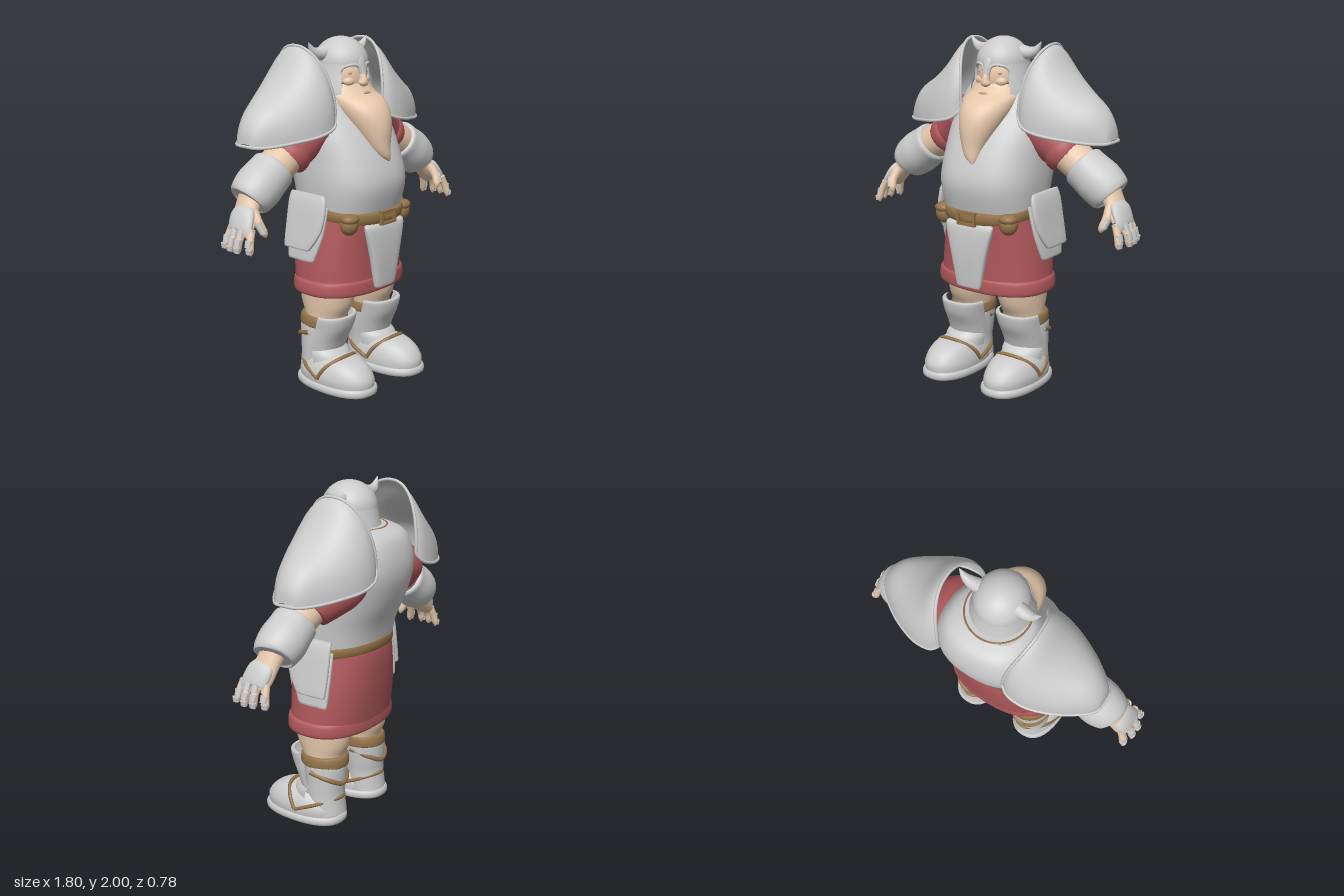
import * as THREE from 'three';

const mat = (color) => new THREE.MeshStandardMaterial({ color, side: THREE.DoubleSide });
const steel = mat(0xcccccc), skin = mat(0xe6c8ab), cloth = mat(0xb0585b), leather = mat(0x927248), lip = mat(0xc79a84);

// Catmull-Rom refinement of rows of numbers
function refine(rows, k) {
  const out = [], n = rows.length, at = (i) => rows[Math.max(0, Math.min(n - 1, i))];
  for (let i = 0; i < n - 1; i++) {
    for (let s = 0; s < k; s++) {
      const t = s / k;
      out.push(rows[i].map((b, c) => {
        const a = at(i - 1)[c], d = at(i + 1)[c], e = at(i + 2)[c];
        return b + 0.5 * t * (d - a + t * (2 * a - 5 * b + 4 * d - e + t * (3 * (b - d) + e - a)));
      }));
    }
  }
  out.push(rows[n - 1]);
  return out;
}

// Surface through rows of points, closed around and capped, or open
function surface(rings, closed = true) {
  const pos = [], idx = [], m = rings[0].length;
  rings.forEach((r) => r.forEach((p) => pos.push(p.x, p.y, p.z)));
  for (let i = 0; i < rings.length - 1; i++) {
    for (let j = 0; j < (closed ? m : m - 1); j++) {
      const a = i * m + j, b = i * m + (j + 1) % m;
      idx.push(a, b, b + m, a, b + m, a + m);
    }
  }
  if (closed) [rings[0], rings[rings.length - 1]].forEach((r, end) => {
    const base = pos.length / 3, c = new THREE.Vector3();
    r.forEach((p) => { pos.push(p.x, p.y, p.z); c.addScaledVector(p, 1 / m); });
    pos.push(c.x, c.y, c.z);
    for (let j = 0; j < m; j++) {
      const a = base + j, b = base + (j + 1) % m;
      idx.push(base + m, end ? a : b, end ? b : a);
    }
  });
  const g = new THREE.BufferGeometry();
  g.setAttribute('position', new THREE.Float32BufferAttribute(pos, 3));
  g.setIndex(idx);
  g.computeVertexNormals();
  return g;
}

const pw = (v, e) => Math.sign(v) * Math.abs(v) ** e;

// Upright body from rows [y, cx, cz, rx, rz]; e < 1 squares the section, tilt lowers the front, arc opens the back
function loft(rows, { n = 36, k = 4, e = 1, tilt = 0, arc = 0 } = {}) {
  const rings = refine(rows, k).map(([y, cx, cz, rx, rz]) => Array.from({ length: n }, (_, j) => {
    const t = arc ? -arc + 2 * arc * j / (n - 1) : 2 * Math.PI * j / n;
    const z = cz + rz * pw(Math.cos(t), e);
    return new THREE.Vector3(cx + rx * pw(Math.sin(t), e), y - tilt * z, z);
  }));
  return surface(rings, !arc);
}

// Limb along a path from rows [x, y, z, radius across, radius in depth]
function limb(rows, { n = 20, k = 4 } = {}) {
  const r = refine(rows, k), P = r.map((q) => new THREE.Vector3(q[0], q[1], q[2]));
  return surface(r.map((q, i) => {
    const T = P[Math.min(i + 1, P.length - 1)].clone().sub(P[Math.max(i - 1, 0)]).normalize();
    const u = T.clone().cross(new THREE.Vector3(0, 0, 1)).normalize(), v = u.clone().cross(T);
    return Array.from({ length: n }, (_, j) => {
      const t = 2 * Math.PI * j / n;
      return P[i].clone().addScaledVector(u, q[3] * Math.sin(t)).addScaledVector(v, q[4] * Math.cos(t));
    });
  }));
}

const tube = (pts, r) =>
  new THREE.TubeGeometry(new THREE.CatmullRomCurve3(pts.map((p) => new THREE.Vector3(...p))), 48, r, 8);
const ball = (x, y, z, rx, ry, rz) => new THREE.SphereGeometry(1, 28, 20).scale(rx, ry, rz).translate(x, y, z);

function add(group, name, geometry, material) {
  const mesh = new THREE.Mesh(geometry, material);
  mesh.name = name;
  group.add(mesh);
}

function buildPauldron(g) {
  // Rows [x bottom, x top, y bottom, y top, z front, z back] from the neck outwards
  const rows = refine([
    [0.2, 0.28, 1.58, 1.965, 0.1, -0.355], [0.25, 0.32, 1.53, 1.93, 0.135, -0.38],
    [0.36, 0.4, 1.5, 1.82, 0.135, -0.375], [0.5, 0.5, 1.48, 1.73, 0.085, -0.32],
    [0.6, 0.61, 1.465, 1.655, 0.025, -0.255], [0.665, 0.675, 1.46, 1.56, -0.03, -0.2],
    [0.688, 0.69, 1.462, 1.475, -0.06, -0.16]], 4);
  const rings = rows.map(([xb, xt, yb, yt, zf, zb]) => Array.from({ length: 25 }, (_, j) => {
    const t = Math.PI * j / 24, h = Math.sin(t) ** 0.92;
    return new THREE.Vector3(xb + (xt - xb) * h * h, yb + (yt - yb) * h, (zf + zb) / 2 + (zf - zb) / 2 * pw(Math.cos(t), 0.92));
  }));
  add(g, 'pauldron', surface(rings, false), steel);
  const border = [...rings.map((r) => r[0]), ...rings.map((r) => r[24]).reverse(), ...rings[0].slice(1, -1).reverse()];
  const rim = new THREE.CatmullRomCurve3(border, true);
  add(g, 'pauldronRim', new THREE.TubeGeometry(rim, 120, 0.009, 8, true), steel);
}

function buildArm(g) {
  add(g, 'sleeve', limb([[0.14, 1.56, -0.11, 0.12, 0.18], [0.27, 1.49, -0.11, 0.15, 0.22],
    [0.36, 1.42, -0.09, 0.135, 0.175], [0.43, 1.365, -0.07, 0.115, 0.13]], { n: 28 }), cloth);
  add(g, 'sleeveCuff', limb([[0.4, 1.388, -0.075, 0.118, 0.135], [0.408, 1.382, -0.073, 0.128, 0.143],
    [0.43, 1.365, -0.07, 0.124, 0.137], [0.436, 1.36, -0.07, 0.113, 0.125]], { n: 28, k: 2 }), cloth);
  add(g, 'arm', limb([[0.36, 1.42, -0.08, 0.1, 0.11], [0.5, 1.335, -0.06, 0.104, 0.11], [0.66, 1.24, -0.05, 0.085, 0.09],
    [0.73, 1.17, -0.045, 0.055, 0.075], [0.79, 1.08, -0.025, 0.04, 0.085], [0.815, 1.04, -0.01, 0.026, 0.08]]), skin);
  add(g, 'forearmGuard', limb([[0.522, 1.325, -0.06, 0.108, 0.112], [0.532, 1.318, -0.06, 0.124, 0.128],
    [0.57, 1.292, -0.06, 0.126, 0.131], [0.645, 1.24, -0.06, 0.132, 0.137],
    [0.71, 1.192, -0.055, 0.12, 0.122], [0.722, 1.182, -0.055, 0.1, 0.105]], { n: 28 }), steel);
  add(g, 'handPlate', limb([[0.757, 1.165, -0.04, 0.02, 0.05], [0.79, 1.125, -0.03, 0.035, 0.08],
    [0.83, 1.055, -0.01, 0.028, 0.082], [0.838, 1.04, -0.01, 0.01, 0.07]]), steel);
  for (let i = 0; i < 4; i++) {
    const z = 0.065 - i * 0.05, d = [-0.01, 0.012, 0.008, -0.012][i], s = [0.022, 0, -0.006, -0.02][i];
    add(g, 'finger', limb([[0.815, 1.06, z, 0.02, 0.022], [0.85 + d, 1.0, z + s / 2, 0.021, 0.022],
      [0.86 + d, 0.95, z + s, 0.018, 0.019], [0.857 + d, 0.928, z + s, 0.005, 0.006]], { n: 12, k: 3 }), skin);
    [[0.832, 1.06, 0.852, 1.015], [0.859, 1.008, 0.871, 0.97], [0.872, 0.965, 0.871, 0.938]].forEach(([x, y, x2, y2], q) =>
      add(g, 'fingerPlate', limb([[x + d, y, z + s * q / 2, 0.015, 0.023], [x2 + d, y2, z + s * q / 2, 0.013, 0.02]], { n: 10, k: 2 }), steel));
  }
  add(g, 'thumb', limb([[0.755, 1.13, 0.015, 0.03, 0.035], [0.76, 1.08, 0.06, 0.026, 0.026],
    [0.745, 1.03, 0.085, 0.021, 0.021], [0.737, 1.005, 0.088, 0.006, 0.006]], { n: 12 }), skin);
  add(g, 'thumbPlate', limb([[0.775, 1.085, 0.065, 0.018, 0.022], [0.76, 1.03, 0.092, 0.016, 0.018]], { n: 10 }), steel);
}

function buildLeg(g) {
  add(g, 'leg', loft([[0.25, 0.195, 0, 0.11, 0.115], [0.4, 0.185, 0.01, 0.115, 0.125],
    [0.5, 0.18, 0.015, 0.125, 0.17], [0.66, 0.17, 0.02, 0.14, 0.2]]), skin);
  add(g, 'sole', loft([[0, 0.215, 0.12, 0.14, 0.25], [0.01, 0.215, 0.122, 0.153, 0.265],
    [0.035, 0.215, 0.122, 0.155, 0.267], [0.05, 0.215, 0.122, 0.145, 0.258]], { e: 0.85, k: 2 }), steel);
  add(g, 'soleTread', loft([[-0.002, 0.215, 0.12, 0.125, 0.23], [0.008, 0.215, 0.12, 0.125, 0.23]], { e: 0.85, k: 1 }), leather);
  add(g, 'bootFoot', loft([[0.04, 0.215, 0.125, 0.143, 0.25], [0.09, 0.217, 0.125, 0.146, 0.25],
    [0.145, 0.217, 0.125, 0.13, 0.212], [0.185, 0.214, 0.12, 0.1, 0.15], [0.205, 0.21, 0.11, 0.04, 0.06]], { e: 0.92 }), steel);
  add(g, 'bootShaft', loft([[0.06, 0.205, -0.03, 0.115, 0.11], [0.17, 0.205, -0.015, 0.115, 0.112],
    [0.25, 0.2, -0.015, 0.12, 0.118], [0.36, 0.195, -0.01, 0.125, 0.13], [0.37, 0.195, -0.01, 0.11, 0.115]]), steel);
  add(g, 'anklePlate', loft([[0.15, 0.21, 0.05, 0.125, 0.14], [0.2, 0.208, 0.04, 0.127, 0.13],
    [0.235, 0.205, 0.02, 0.12, 0.115]], { arc: 1.6 }), steel);
  add(g, 'greave', loft([[0.19, 0.205, -0.01, 0.125, 0.125], [0.28, 0.203, 0.01, 0.133, 0.135],
    [0.36, 0.2, 0.035, 0.136, 0.15], [0.43, 0.198, 0.06, 0.14, 0.14], [0.436, 0.198, 0.055, 0.125, 0.125]],
    { arc: 1.45, e: 0.85 }), steel);
  add(g, 'kneeStrap', loft([[0.355, 0.19, 0, 0.125, 0.14], [0.365, 0.19, 0, 0.132, 0.147],
    [0.41, 0.19, 0, 0.128, 0.143], [0.42, 0.19, 0, 0.115, 0.13]], { k: 2 }), leather);
  // Crossed strap behind the calf, instep and heel straps
  add(g, 'calfStrap', tube([[0.075, 0.33, 0.01], [0.12, 0.29, -0.105], [0.2, 0.255, -0.137], [0.285, 0.29, -0.105],
    [0.327, 0.33, 0.01]], 0.014), leather);
  add(g, 'instepStrap', tube([[0.068, 0.08, 0.1], [0.084, 0.145, 0.14], [0.15, 0.194, 0.19], [0.215, 0.203, 0.2],
    [0.28, 0.194, 0.19], [0.347, 0.145, 0.14], [0.364, 0.08, 0.1]], 0.012), leather);
  add(g, 'heelStrap', tube([[0.066, 0.08, 0.1], [0.085, 0.13, -0.03], [0.2, 0.165, -0.13], [0.325, 0.13, -0.03],
    [0.364, 0.08, 0.1]], 0.011), leather);
}

function buildHip(g) {
  // Layered plates hanging from the belt
  add(g, 'lowerHipPlate', loft([[0.77, 0.345, -0.035, 0.012, 0.09], [0.78, 0.345, -0.03, 0.017, 0.1],
    [0.93, 0.325, -0.01, 0.018, 0.13], [1.08, 0.29, -0.005, 0.015, 0.13]], { e: 0.6, k: 2 }), steel);
  add(g, 'upperHipPlate', loft([[0.84, 0.373, -0.04, 0.012, 0.09], [0.85, 0.372, -0.035, 0.018, 0.1],
    [0.96, 0.35, -0.005, 0.02, 0.135], [1.1, 0.325, 0, 0.02, 0.14], [1.15, 0.31, -0.01, 0.012, 0.125]], { e: 0.6, k: 2 }), steel);
  add(g, 'pouch', ball(0.225, 0.99, 0.225, 0.055, 0.058, 0.05), leather);
  add(g, 'pouchFlap', ball(0.225, 1.025, 0.23, 0.057, 0.032, 0.05), leather);
}

function buildHead(g) {
  add(g, 'face', ball(0, 1.78, -0.03, 0.138, 0.17, 0.147), skin);
  add(g, 'nose', limb([[0, 1.82, 0.11, 0.014, 0.02], [0, 1.775, 0.126, 0.022, 0.026], [0, 1.752, 0.125, 0.032, 0.03],
    [0, 1.737, 0.118, 0.01, 0.012]], { n: 14 }), skin);
  add(g, 'beard', loft([[1.325, 0.03, 0.29, 0.008, 0.012], [1.36, 0.012, 0.272, 0.04, 0.038], [1.42, 0, 0.24, 0.07, 0.07],
    [1.52, 0, 0.18, 0.115, 0.128], [1.6, 0, 0.12, 0.145, 0.165], [1.66, 0, 0.06, 0.158, 0.175],
    [1.7, 0, 0.01, 0.16, 0.145], [1.77, 0, -0.03, 0.135, 0.13]]), skin);
  add(g, 'lips', ball(0, 1.697, 0.152, 0.032, 0.01, 0.012), lip);
  add(g, 'helmetDome', new THREE.SphereGeometry(1, 36, 16, 0, Math.PI * 2, 0, Math.PI / 2)
    .scale(0.148, 0.145, 0.16).translate(0, 1.855, -0.04), steel);
  const neck = [[0.182, 1.69], [0.178, 1.735], [0.16, 1.79], [0.149, 1.86]].map((p) => new THREE.Vector2(...p));
  add(g, 'helmetNeckGuard', new THREE.LatheGeometry(neck, 40, 0.85, Math.PI * 2 - 1.7).scale(1, 1, 1.07).translate(0, 0, -0.04), steel);
  add(g, 'noseGuard', loft([[1.775, 0, 0.138, 0.006, 0.014], [1.8, 0, 0.126, 0.014, 0.015],
    [1.87, 0, 0.11, 0.03, 0.015], [1.9, 0, 0.1, 0.014, 0.012]], { n: 16 }), steel);
  for (const s of [-1, 1]) {
    add(g, 'browRim', tube([[s * 0.015, 1.805, 0.124], [s * 0.028, 1.846, 0.116], [s * 0.07, 1.856, 0.1],
      [s * 0.108, 1.835, 0.066], [s * 0.118, 1.79, 0.058], [s * 0.118, 1.735, 0.065]], 0.009), steel);
    add(g, 'eyelid', ball(s * 0.055, 1.808, 0.086, 0.026, 0.011, 0.014), lip);
    add(g, 'cheek', ball(s * 0.06, 1.762, 0.075, 0.045, 0.03, 0.033), skin);
    add(g, 'horn', limb([[s * 0.11, 1.915, -0.06, 0.042, 0.042], [s * 0.16, 1.913, -0.065, 0.036, 0.036],
      [s * 0.205, 1.932, -0.065, 0.024, 0.024], [s * 0.243, 1.982, -0.06, 0.002, 0.002]]), steel);
  }
}

export function createModel() {
  const model = new THREE.Group();
  model.name = 'warrior';

  // Torso armour and collar
  add(model, 'cuirass', loft([[1.05, 0, 0.025, 0.29, 0.272], [1.2, 0, 0.025, 0.303, 0.303], [1.35, 0, -0.028, 0.305, 0.315],
    [1.5, 0, -0.088, 0.31, 0.297], [1.62, 0, -0.128, 0.29, 0.252], [1.72, 0, -0.135, 0.24, 0.205],
    [1.76, 0, -0.1, 0.185, 0.155]], { n: 48, e: 0.82 }), steel);
  add(model, 'collar', new THREE.TorusGeometry(0.18, 0.006, 10, 40).rotateX(Math.PI / 2).translate(0, 1.757, -0.075), leather);

  // Skirt with rolled hem
  add(model, 'skirt', loft([[0.58, 0, 0.02, 0.345, 0.24], [0.8, 0, 0.008, 0.325, 0.257], [1.0, 0, 0.01, 0.288, 0.272],
    [1.09, 0, 0.015, 0.275, 0.265]], { n: 48, e: 0.85 }), cloth);
  add(model, 'hem', loft([[0.56, 0, 0.022, 0.335, 0.232], [0.57, 0, 0.022, 0.357, 0.247], [0.6, 0, 0.022, 0.361, 0.25],
    [0.64, 0, 0.022, 0.353, 0.247], [0.652, 0, 0.022, 0.335, 0.235]], { n: 48, e: 0.85 }), cloth);

  // Belt, buckle and front plate
  add(model, 'belt', loft([[1.022, 0, 0.025, 0.282, 0.27], [1.028, 0, 0.025, 0.298, 0.286], [1.078, 0, 0.025, 0.302, 0.291],
    [1.085, 0, 0.025, 0.285, 0.275]], { n: 48, e: 0.88, k: 2, tilt: 0.14 }), leather);
  const frame = [[-0.055, 0.98], [0.055, 0.98], [0.055, 1.045], [-0.055, 1.045]];
  frame.forEach(([x, y], i) => {
    const [x2, y2] = frame[(i + 1) % 4];
    add(model, 'buckle', new THREE.BoxGeometry(Math.abs(x2 - x) + 0.015, Math.abs(y2 - y) + 0.015, 0.025)
      .translate((x + x2) / 2, (y + y2) / 2, 0.315), leather);
  });
  add(model, 'bucklePin', new THREE.BoxGeometry(0.07, 0.014, 0.02).translate(0.02, 1.012, 0.318), leather);
  add(model, 'frontPlate', loft([[0.61, 0, 0.295, 0.075, 0.014], [0.62, 0, 0.295, 0.085, 0.022], [0.8, 0, 0.295, 0.122, 0.032],
    [0.95, 0, 0.29, 0.16, 0.028], [0.98, 0, 0.28, 0.155, 0.015]], { e: 0.65 }), steel);

  const head = new THREE.Group();
  head.name = 'head';
  buildHead(head);
  model.add(head);

  // Left side, mirrored to the right
  for (const s of [1, -1]) {
    const side = new THREE.Group();
    side.name = s > 0 ? 'leftSide' : 'rightSide';
    [buildPauldron, buildArm, buildHip, buildLeg].forEach((build) => build(side));
    side.scale.x = s;
    model.add(side);
  }
  return model;
}
